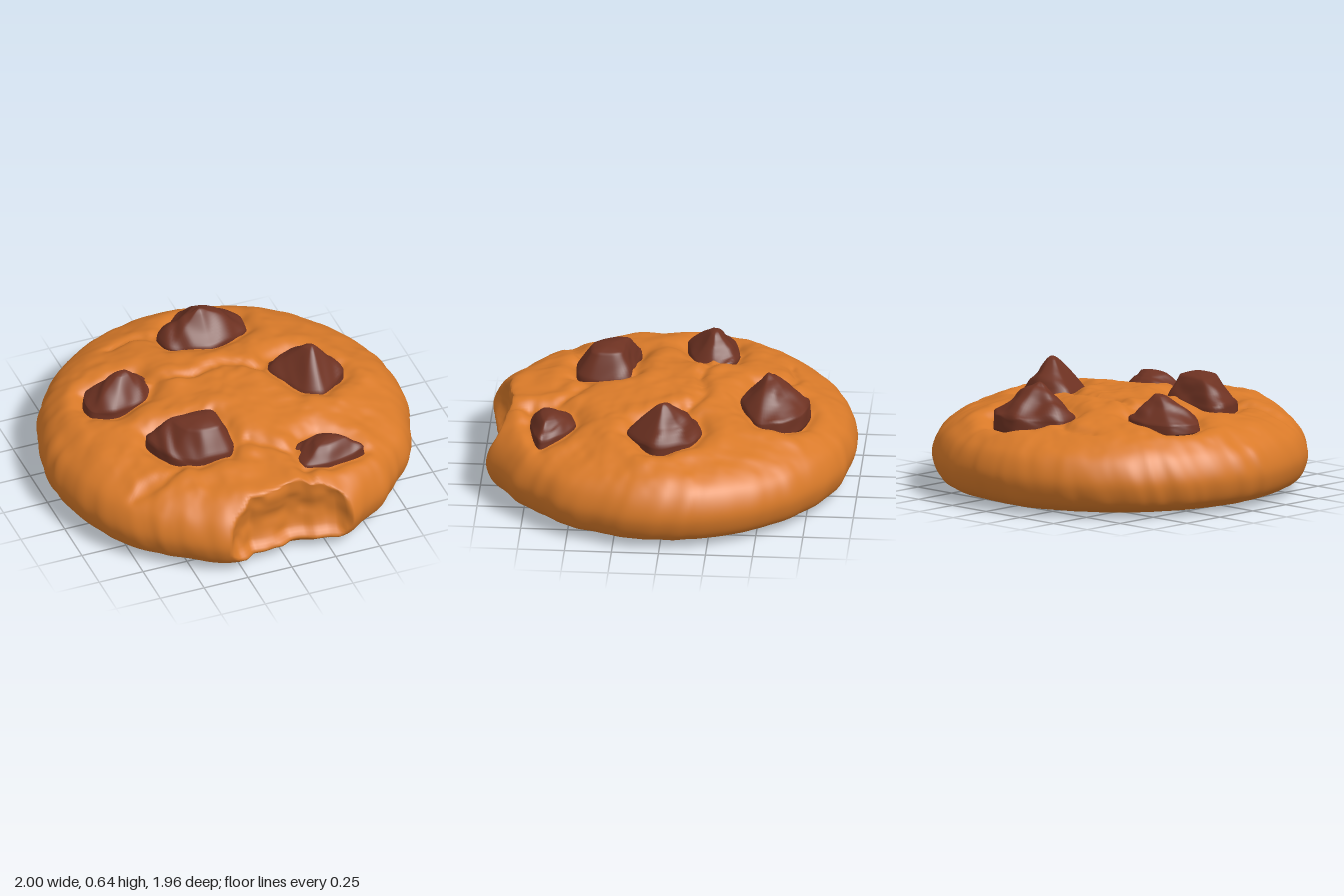
import * as THREE from 'three';

const dough = new THREE.MeshStandardMaterial({ color: 0xd97a29 });
dough.name = 'golden dough';
const chocolate = new THREE.MeshStandardMaterial({ color: 0x6e3222 });
chocolate.name = 'chocolate';

// smooth value noise in -1..1
const hash = (i, j) => {
  const s = Math.sin(i * 127.1 + j * 311.7) * 43758.5453;
  return (s - Math.floor(s)) * 2 - 1;
};
function noise(x, y) {
  const i = Math.floor(x), j = Math.floor(y);
  const u = THREE.MathUtils.smootherstep(x - i, 0, 1), v = THREE.MathUtils.smootherstep(y - j, 0, 1);
  const a = THREE.MathUtils.lerp(hash(i, j), hash(i + 1, j), u);
  const b = THREE.MathUtils.lerp(hash(i, j + 1), hash(i + 1, j + 1), u);
  return THREE.MathUtils.lerp(a, b, v);
}

// chips: footprint outline [x, z], peak [x, y, z], base height, shoulder height and cap size as fractions
const CHIPS = [
  { name: 'backChip', base: 0.37, peak: [0.07, 0.627, -0.52], shoulder: 0.36, cap: 0.2,
    outline: [[-0.16, -0.58], [-0.07, -0.66], [0.05, -0.745], [0.22, -0.71], [0.32, -0.61], [0.33, -0.48], [0.22, -0.41], [0.07, -0.37], [-0.13, -0.45]] },
  { name: 'rightChip', base: 0.4, peak: [-0.49, 0.592, -0.2], shoulder: 0.3, cap: 0.22,
    outline: [[-0.72, -0.2], [-0.67, -0.29], [-0.51, -0.33], [-0.38, -0.31], [-0.32, -0.19], [-0.4, -0.09], [-0.6, -0.04], [-0.71, -0.1]] },
  { name: 'leftChip', base: 0.38, peak: [0.5, 0.64, 0.01], shoulder: 0.3, cap: 0.2,
    outline: [[0.27, -0.09], [0.31, -0.16], [0.45, -0.2], [0.58, -0.14], [0.66, -0.01], [0.66, 0.07], [0.5, 0.205], [0.4, 0.17], [0.33, 0.04]] },
  { name: 'frontRightChip', base: 0.36, peak: [-0.24, 0.61, 0.35], shoulder: 0.42, cap: 0.52,
    outline: [[-0.54, 0.26], [-0.5, 0.19], [-0.36, 0.2], [-0.15, 0.21], [-0.1, 0.29], [-0.11, 0.45], [-0.17, 0.52], [-0.34, 0.52], [-0.47, 0.43]] },
  { name: 'frontLeftChip', base: 0.33, peak: [0.37, 0.5, 0.62], shoulder: 0.55, cap: 0.45,
    outline: [[0.17, 0.6], [0.23, 0.51], [0.35, 0.485], [0.46, 0.54], [0.55, 0.66], [0.48, 0.7], [0.31, 0.735], [0.18, 0.71]] },
];

// cracks across the top, as polylines [x, z]
const CRACKS = [
  [[-0.24, -0.18], [-0.1, -0.15], [0.02, -0.19], [0.2, -0.11]],
  [[-0.72, 0.57], [-0.55, 0.55], [-0.46, 0.51]],
  [[-0.02, 0.45], [0.06, 0.52], [0.12, 0.58]],
  [[0.18, 0.76], [0.16, 0.86]],
  [[-0.42, -0.6], [-0.3, -0.64], [-0.22, -0.63]],
];
function segmentDistance(x, z, [ax, az], [bx, bz]) {
  const dx = bx - ax, dz = bz - az;
  const t = THREE.MathUtils.clamp(((x - ax) * dx + (z - az) * dz) / (dx * dx + dz * dz), 0, 1);
  return Math.hypot(x - ax - dx * t, z - az - dz * t);
}
const lineDistance = (x, z, pts) =>
  Math.min(...pts.slice(1).map((p, i) => segmentDistance(x, z, pts[i], p)));

// height change of the baked top: lumps, cracks, a moat round each chip and a fuller lip over the bite
function topRelief(x, z) {
  let h = 0.014 * noise(x * 4 + 9, z * 4 + 3) + 0.008 * noise(x * 9, z * 9 + 5) + 0.003 * noise(x * 20, z * 20);
  h += 0.04 * Math.exp(-((x / 0.3) ** 4) - ((z - 0.87) / 0.14) ** 2);
  for (const c of CRACKS) {
    const d = lineDistance(x + 0.02 * noise(x * 12, z * 12), z + 0.02 * noise(z * 12, x * 12), c);
    h += 0.008 * Math.exp(-((d - 0.07) ** 2) / 0.003) - 0.018 * Math.exp(-(d * d) / 0.001);
  }
  for (const c of CHIPS) {
    const d = lineDistance(x, z, [...c.outline, c.outline[0]]);
    h += 0.01 * Math.exp(-((d - 0.11) ** 2) / 0.003) - 0.03 * Math.exp(-(d * d) / 0.0018);
  }
  return h;
}

// furthest z allowed by the bite: scalloped rim, hollow wall and a lip near the bottom
const BITE = [[-0.345, 1.1], [-0.32, 0.965], [-0.28, 0.915], [-0.23, 0.9], [-0.18, 0.86], [-0.1, 0.87],
  [-0.02, 0.86], [0.04, 0.835], [0.13, 0.84], [0.18, 0.865], [0.25, 0.875], [0.31, 0.9], [0.35, 0.955], [0.37, 1.1]];
function biteLimit(x, y) {
  const k = BITE.findIndex((p) => p[0] > x);
  if (k < 1) return 9;
  const [a, b] = [BITE[k - 1], BITE[k]];
  const z = THREE.MathUtils.lerp(a[1], b[1], (x - a[0]) / (b[0] - a[0]));
  const lip = 0.04 * Math.exp(-((y - 0.08) ** 2) / 0.0012);
  const hollow = 0.02 * Math.exp(-((y - 0.24) ** 2) / 0.008);
  return z + lip - hollow - 0.6 * Math.max(0, 0.07 - y) + 0.008 * noise(x * 14, y * 16);
}

// closed skin from rings of points, capped by the first and last rings' centres
function skin(rings, first, last) {
  const n = rings[0].length, pos = [...first], idx = [];
  rings.forEach((r) => r.forEach((p) => pos.push(...p)));
  pos.push(...last);
  const end = rings.length * n + 1;
  for (let j = 0; j < n; j++) {
    const k = (j + 1) % n;
    idx.push(0, 1 + k, 1 + j);
    for (let i = 0; i < rings.length - 1; i++) {
      const a = 1 + i * n, b = a + n;
      idx.push(a + j, a + k, b + j, a + k, b + k, b + j);
    }
    const a = end - n;
    idx.push(a + j, a + k, end);
  }
  const g = new THREE.BufferGeometry();
  g.setAttribute('position', new THREE.Float32BufferAttribute(pos, 3));
  g.setIndex(idx);
  g.computeVertexNormals();
  return g;
}

// cookie body: a swept profile with lumps and the bite pressed in
function cookieGeometry() {
  const profile = new THREE.CatmullRomCurve3([[0, 0], [0.7, 0.004], [0.85, 0.02], [0.945, 0.065], [0.988, 0.16],
    [0.985, 0.23], [0.94, 0.32], [0.84, 0.39], [0.7, 0.43], [0.5, 0.465], [0.25, 0.5], [0, 0.515]]
    .map(([r, y]) => new THREE.Vector3(r, y, 0))).getSpacedPoints(140);
  const n = 400;
  const rings = profile.slice(1, -1).map(({ x: r, y }) => Array.from({ length: n }, (_, j) => {
    const a = -(j / n) * Math.PI * 2, cx = Math.cos(a), cz = Math.sin(a);
    const edge = THREE.MathUtils.smoothstep(r, 0.6, 0.95);
    // the rim swells at both corners of the bite
    const corner = cz > 0 ? 0.022 * Math.exp(-(((Math.abs(cx) - 0.35) / 0.1) ** 2)) : 0;
    const wobble = 0.007 * noise(cx * 6 + 20, cz * 6) + 0.007 * noise(cx * 13, cz * 13 + y * 4);
    const rr = r * (1 + edge * (0.006 + corner + wobble));
    const x = rr * cx;
    let z = rr * cz + 0.012;
    const top = THREE.MathUtils.smoothstep(y, 0.27, 0.42);
    const yy = Math.max(0, y) + top * topRelief(x, z);
    if (z > 0.6) z = Math.min(z, biteLimit(x, yy));
    return [x, yy, z];
  }));
  return skin(rings, [0, 0, 0], [0, 0.515 + topRelief(0, 0), 0]);
}

// chip: footprint drawn up into a blunt peak, with uneven planes
function chipGeometry({ outline, peak: [px, py, pz], base, shoulder, cap }) {
  const n = 72, m = 24;
  const loop = new THREE.CatmullRomCurve3(outline.map(([x, z]) => new THREE.Vector3(x, 0, z)), true, 'catmullrom', 0.35)
    .getSpacedPoints(n).slice(0, n).reverse();
  const rings = [];
  for (let i = 0; i < m; i++) {
    const t = i / m;
    // scale falls slowly on the side wall, then quickly over the cap
    const s = t < 0.3 ? 1 - t * 0.1
      : t < 0.75 ? THREE.MathUtils.lerp(0.97, cap, (t - 0.3) / 0.45)
        : cap * (1 - (t - 0.75) / 0.25);
    const h = t < 0.3 ? shoulder * t / 0.3
      : t < 0.75 ? THREE.MathUtils.lerp(shoulder, 0.92, (t - 0.3) / 0.45)
        : 0.92 + 0.08 * Math.sin((t - 0.75) * 2 * Math.PI);
    rings.push(loop.map((p) => {
      const x = px + (p.x - px) * s, z = pz + (p.z - pz) * s;
      const bump = 0.014 * noise(x * 11 + 4, z * 11 + h * 4) * Math.min(1, t * 3);
      const k = 1 + bump * 2;
      return [px + (x - px) * k, base + (py - base) * h + bump * Math.min(1, 2 - 2 * t), pz + (z - pz) * k];
    }));
  }
  return skin(rings, [px, base, pz], [px, py, pz]);
}

export function createModel() {
  const cookie = new THREE.Group();
  cookie.name = 'cookie';
  const add = (name, geometry, material) => {
    const mesh = new THREE.Mesh(geometry, material);
    mesh.name = name;
    cookie.add(mesh);
  };
  add('cookieBody', cookieGeometry(), dough);
  for (const chip of CHIPS) add(chip.name, chipGeometry(chip), chocolate);
  return cookie;
}
